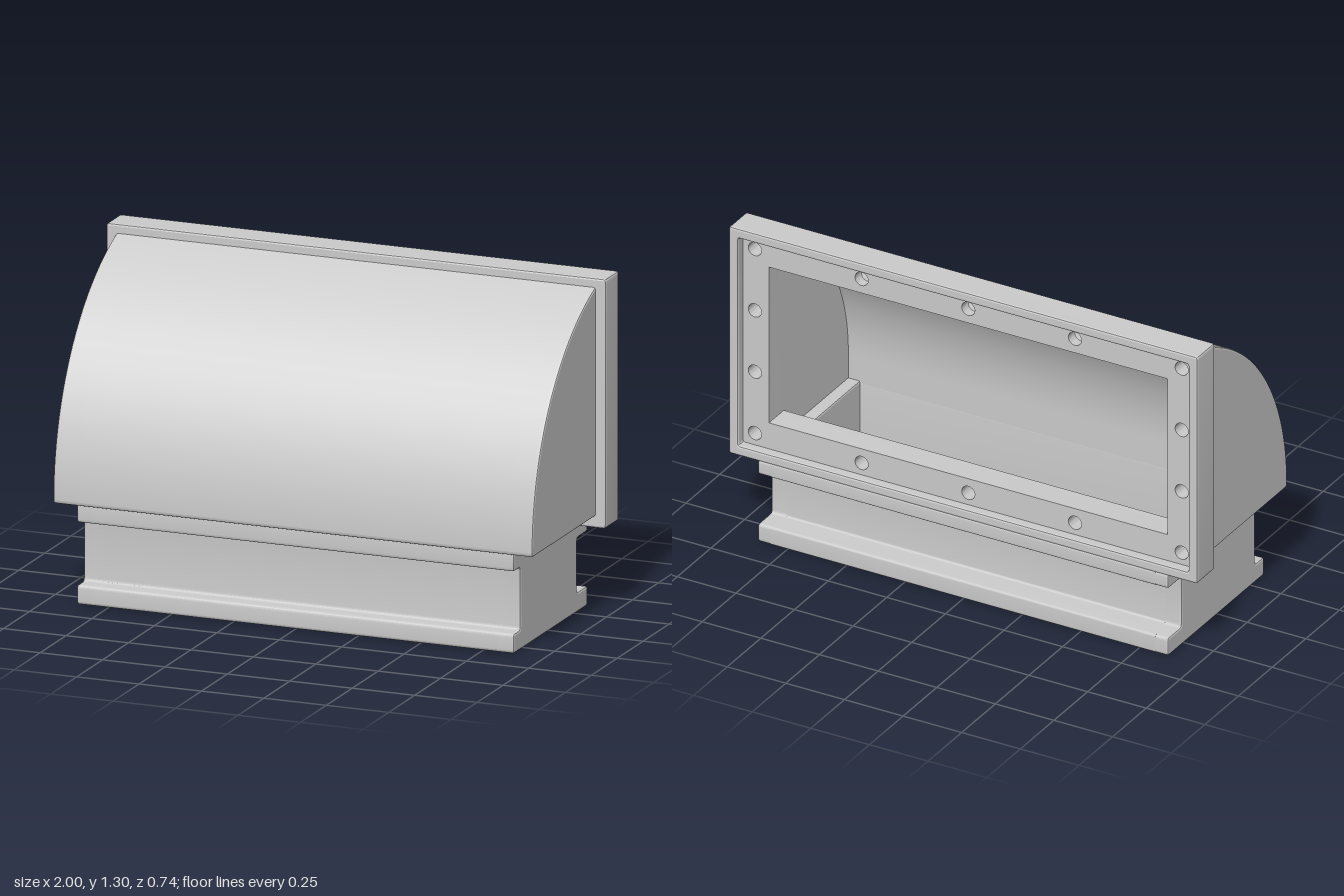
import * as THREE from 'three';
import { toCreasedNormals } from 'three/addons/utils/BufferGeometryUtils.js';

const material = new THREE.MeshStandardMaterial({ color: 0xcccccc });

// Closed polygon with slightly rounded corners
function roundedPolygon(points, r = 0.013, Type = THREE.Shape) {
  const pts = points.map(([x, y]) => new THREE.Vector2(x, y));
  const path = new Type();
  pts.forEach((p, i) => {
    const prev = pts[(i + pts.length - 1) % pts.length];
    const next = pts[(i + 1) % pts.length];
    const a = p.clone().add(prev.clone().sub(p).setLength(r));
    const b = p.clone().add(next.clone().sub(p).setLength(r));
    if (i === 0) path.moveTo(a.x, a.y);
    else path.lineTo(a.x, a.y);
    path.quadraticCurveTo(p.x, p.y, b.x, b.y);
  });
  path.closePath();
  return path;
}

const rectangle = (hx, y0, y1) => [[-hx, y0], [hx, y0], [hx, y1], [-hx, y1]];

// Extrusion along +z from 0 to depth, bevel kept inside the outline
function extrude(shape, depth, bevel, curveSegments) {
  return new THREE.ExtrudeGeometry(shape, {
    depth: depth - 2 * bevel, curveSegments, bevelEnabled: bevel > 0,
    bevelSize: bevel, bevelThickness: bevel, bevelOffset: -bevel, bevelSegments: 2,
  }).translate(0, 0, bevel);
}

export function createModel() {
  const model = new THREE.Group();
  const add = (name, geometry) => {
    const mesh = new THREE.Mesh(toCreasedNormals(geometry, 0.3), material);
    mesh.name = name;
    model.add(mesh);
  };
  // Side profile (z, y) swept across x from x0 to x1
  const sweep = (name, shape, x0, x1, bevel = 0, segments = 6) =>
    add(name, extrude(shape, x1 - x0, bevel, segments).rotateY(-Math.PI / 2).translate(x1, 0, 0));
  const ends = (name, shape, x0, x1, segments) => {
    sweep(name + 'Left', shape, x0, x1, 0.008, segments);
    sweep(name + 'Right', shape, -x1, -x0, 0.008, segments);
  };

  // Base: grooved front and back walls closed by end walls
  const frontEdge = [[0.345, 0], [0.345, 0.075], [0.28, 0.075], [0.28, 0.315], [0.345, 0.315], [0.345, 0.395]];
  const backEdge = [[-0.37, 0.345], [-0.37, 0.285], [-0.27, 0.285], [-0.27, 0.075], [-0.37, 0.075], [-0.37, 0]];
  sweep('baseFrontWall', roundedPolygon([[0.26, 0], ...frontEdge, [0.26, 0.395]]), -0.82, 0.82);
  sweep('baseBackWall', roundedPolygon([[-0.22, 0], [-0.22, 0.4], [-0.24, 0.4], [-0.24, 0.345], ...backEdge], 0.01), -0.82, 0.82);
  ends('baseEnd', roundedPolygon([...frontEdge, [-0.24, 0.395], [-0.24, 0.345], ...backEdge]), 0.8, 0.875);

  // Hood: curved shell between two solid cheeks
  const cz = -0.548, cy = 0.4, radius = 0.918;
  const backAngle = Math.acos((-0.26 - cz) / radius);
  const outline = (shape) => {
    shape.moveTo(0.355, 0.385);
    shape.quadraticCurveTo(0.37, 0.385, 0.37, cy);
    shape.absarc(cz, cy, radius, 0, backAngle, false);
    return shape;
  };
  const shell = outline(new THREE.Shape());
  shell.lineTo(-0.3, 1.15);
  shell.absellipse(-0.3, 0.5, 0.56, 0.65, Math.PI / 2, 0, true, 0);
  shell.lineTo(0.26, 0.385);
  shell.closePath();
  sweep('hoodShell', shell, -0.87, 0.87, 0, 32);
  const cheek = outline(new THREE.Shape());
  cheek.lineTo(-0.26, 0.385);
  cheek.closePath();
  ends('hoodCheek', cheek, 0.85, 0.96, 32);

  // Sill behind the lower edge of the opening
  add('sill', new THREE.BoxGeometry(1.71, 0.105, 0.03).translate(0, 0.4375, -0.235));

  // Rear flange: raised rim around a recessed plate
  const rim = roundedPolygon(rectangle(1, 0.34, 1.3));
  rim.holes.push(roundedPolygon(rectangle(0.96, 0.38, 1.26), 0.01, THREE.Path));
  add('flangeRim', extrude(rim, 0.13, 0.008, 6).translate(0, 0, -0.37));

  // Plate with the opening and a ring of bolt holes
  const plate = roundedPolygon(rectangle(0.975, 0.365, 1.275), 0.005);
  plate.holes.push(roundedPolygon(rectangle(0.85, 0.49, 1.15), 0.002, THREE.Path));
  for (let i = 0; i < 5; i++) {
    for (let j = 0; j < 4; j++) {
      if (i % 4 && j % 3) continue;
      plate.holes.push(new THREE.Path().absarc(-0.91 + i * 0.455, 0.43 + j * 0.26, 0.028, 0, Math.PI * 2, true));
    }
  }
  add('boltPlate', extrude(plate, 0.09, 0, 24).translate(0, 0, -0.33));
  return model;
}
